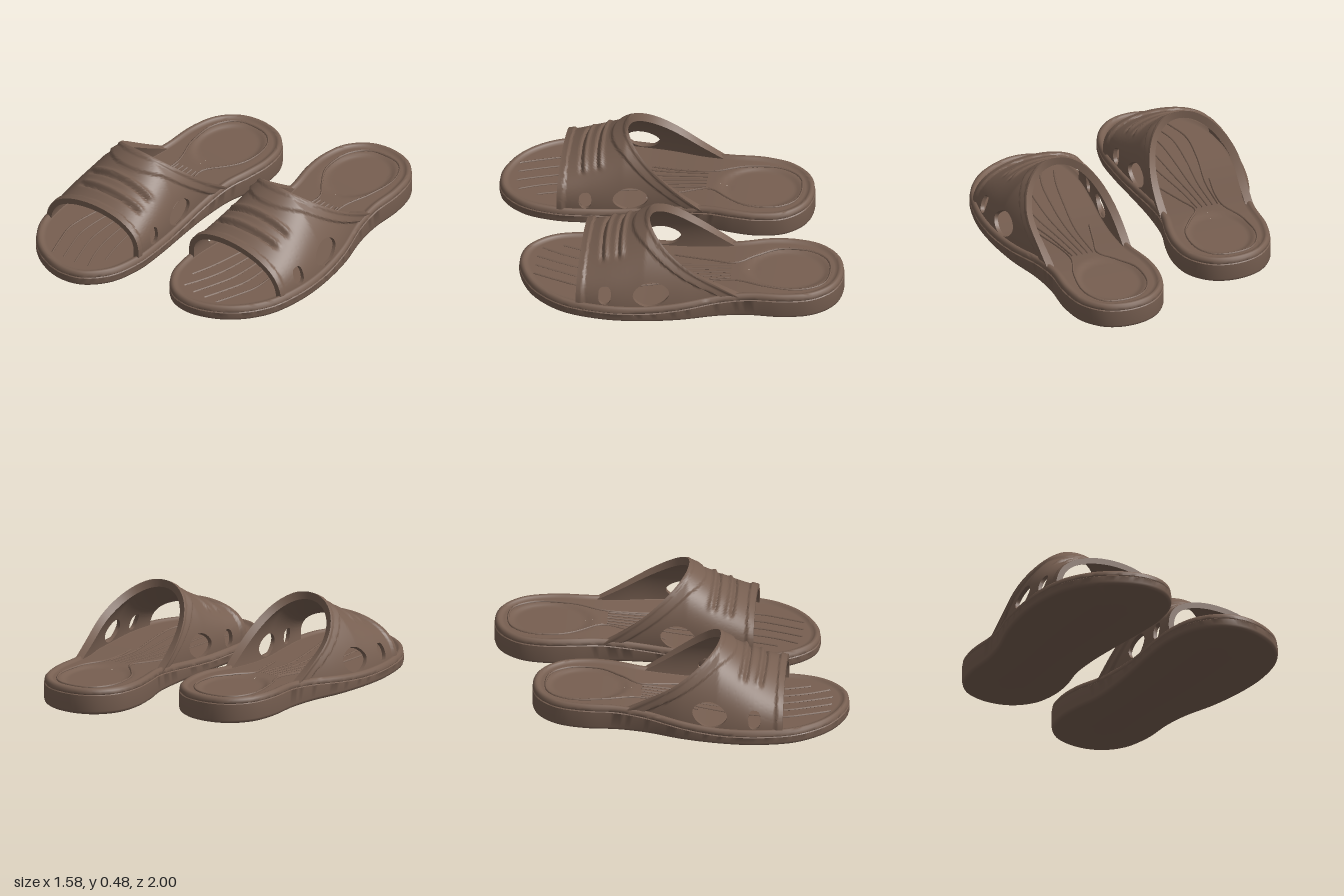
import * as THREE from 'three';
import { toCreasedNormals } from 'three/addons/utils/BufferGeometryUtils.js';

const { lerp, smoothstep, clamp } = THREE.MathUtils;
const rubber = new THREE.MeshStandardMaterial({ color: 0x775f51 });
rubber.name = 'brown rubber';

// Sole outline (x, z): heel, outer side, toe, inner side
const outline = new THREE.CatmullRomCurve3([
  [0.36, -1], [0.5, -0.965], [0.6, -0.86], [0.643, -0.7], [0.648, -0.5], [0.675, -0.34], [0.74, -0.13],
  [0.78, 0.1], [0.785, 0.3], [0.74, 0.52], [0.63, 0.68], [0.5, 0.765], [0.37, 0.797], [0.24, 0.765],
  [0.13, 0.64], [0.085, 0.45], [0.09, 0.25], [0.115, 0], [0.13, -0.2], [0.127, -0.4], [0.095, -0.56],
  [0.085, -0.71], [0.12, -0.86], [0.22, -0.965],
].map(([x, z]) => new THREE.Vector3(x, 0, z)), true, 'centripetal');
const N = 160;
const rim = outline.getSpacedPoints(N).slice(0, N);
const toe = rim.reduce((best, p, i) => (p.z > rim[best].z ? i : best), 0);

// x of the outer or inner outline at a given z
function edgeX(z, outer) {
  const [from, to] = outer ? [0, toe] : [toe, N];
  for (let i = from; i < to; i++) {
    const a = rim[i], b = rim[(i + 1) % N];
    if ((a.z - z) * (b.z - z) <= 0 && a.z !== b.z) return lerp(a.x, b.x, (z - a.z) / (b.z - a.z));
  }
  return 0.36;
}

const soleTop = (z) => lerp(0.147, 0.088, smoothstep(z, -0.62, 0.15));
function bedY(x, z) {
  const r = Math.hypot((x - 0.365) / 0.185, (z + 0.69) / 0.235);
  return soleTop(z) - 0.012 - 0.014 * (1 - smoothstep(r, 0.82, 1.03));
}

function meshData(pos, idx) {
  const g = new THREE.BufferGeometry();
  g.setAttribute('position', new THREE.Float32BufferAttribute(pos, 3));
  g.setIndex(idx);
  return g;
}

// Sole: rings lofted from the flat bottom, up the side, over the rim and into the footbed
function soleGeometry() {
  const pos = [], idx = [];
  const ring = (inset, shrink, height) => rim.forEach((p, i) => {
    const a = rim[(i + N - 1) % N], b = rim[(i + 1) % N];
    const l = Math.hypot(b.x - a.x, b.z - a.z);
    const x0 = p.x - inset * (b.z - a.z) / l, z0 = p.z + inset * (b.x - a.x) / l;
    const x = lerp(x0, 0.38, shrink), z = lerp(z0, clamp(z0, -0.72, 0.45), shrink);
    pos.push(x, height(x, z), z);
  });
  ring(0, 1, () => 0);
  ring(0.015, 0, () => 0);
  ring(0.003, 0, () => 0.008);
  ring(0, 0, () => 0.02);
  ring(0, 0, (x, z) => soleTop(z) - 0.038);
  ring(0.006, 0, (x, z) => soleTop(z) - 0.034);
  ring(0.002, 0, (x, z) => soleTop(z) - 0.029);
  ring(0.004, 0, (x, z) => soleTop(z) - 0.012);
  ring(0.014, 0, (x, z) => soleTop(z) - 0.002);
  ring(0.024, 0, (x, z) => soleTop(z));
  ring(0.034, 0, (x, z) => soleTop(z) - 0.004);
  for (let k = 0; k <= 20; k++) ring(0.042, k / 20, bedY);
  for (let k = 0; k < pos.length / 3 / N - 1; k++) {
    for (let i = 0; i < N; i++) {
      const j = (i + 1) % N, a = k * N + i, b = (k + 1) * N + i, c = (k + 1) * N + j, d = k * N + j;
      idx.push(a, b, c, a, c, d);
    }
  }
  return meshData(pos, idx);
}

// Side openings in (z, angle) space, repeated on both sides of the arch
const FRONT = 0.44, PEAK = 0.07;
const holes = [];
for (const side of [0, 1]) {
  const at = (a) => (side ? Math.PI - a : a);
  holes.push({ z: 0.28, a: at(0.23), rz: 0.036, ra: 0.16, n: 2.6 });
  holes.push({ z: 0.025, a: at(0.24), rz: 0.1, ra: 0.18, n: 1.8 });
}
const holeRadius = (h, z, a) =>
  (Math.abs((z - h.z) / h.rz) ** h.n + Math.abs((a - h.a) / h.ra) ** h.n) ** (1 / h.n);

const backZ = (a) => PEAK - (0.51 + 0.04 * Math.cos(a)) * (1 - Math.sin(a)) ** 1.05;

// Raised bands and sunken slits on the strap
function relief(z, a) {
  const e = z - backZ(a), bump = (d, w) => Math.exp(-((d / w) ** 2));
  let d = 0.014 * (1 - smoothstep(e, 0.085, 0.1)) + 0.008 * (1 - smoothstep(e, 0.018, 0.03));
  d += 0.012 * smoothstep(z, 0.395, 0.407);
  const across = smoothstep(a, 0.8, 1.0) * (1 - smoothstep(a, 2.2, 2.4));
  for (const slit of [0.235, 0.325]) {
    const s = z - slit + 0.03 * (a - 1.6) ** 2;
    d += across * (0.012 * bump(s + 0.02, 0.014) - 0.016 * bump(s, 0.01));
  }
  return d;
}

// Point on the arched strap, pushed out by the given offset
function strapPoint(z, a, offset) {
  const t = clamp((FRONT - z) / (FRONT - PEAK), 0, 1);
  const top = 0.285 + 0.177 * t ** 1.2;
  const xo = edgeX(z, true) - 0.024, xi = edgeX(z, false) + 0.024;
  const s = Math.max(0, Math.sin(a)), y0 = soleTop(z) - 0.03;
  return [
    (xo + xi) / 2 + (xo - xi) / 2 * Math.cos(a) - 0.04 * s + offset * Math.cos(a),
    y0 + (top - y0) * s ** (0.7 + 0.3 * t) + offset * s,
    z,
  ];
}

// Strap: outer and inner shells joined by walls along every open edge
function strapGeometry() {
  const A = 96, V = 72, outer = [], inner = [], inside = [], idx = [];
  for (let i = 0; i <= A; i++) {
    for (let j = 0; j <= V; j++) {
      let a = Math.PI * i / A, z = lerp(FRONT, backZ(a), j / V), hit = false;
      for (const h of holes) {
        const r = holeRadius(h, z, a);
        if (r < 1) {
          hit = true;
          z = h.z + (z - h.z) / Math.max(r, 0.05);
          a = h.a + (a - h.a) / Math.max(r, 0.05);
        }
      }
      inside.push(hit);
      outer.push(...strapPoint(z, a, relief(z, a)));
      inner.push(...strapPoint(z, a, -0.022));
    }
  }
  const M = inside.length, edges = new Map();
  for (let i = 0; i < A; i++) {
    for (let j = 0; j < V; j++) {
      const a = i * (V + 1) + j, q = [a, a + 1, a + V + 2, a + V + 1];
      if (q.every((k) => inside[k])) continue;
      const [p, r, s, t] = q;
      idx.push(p, r, s, p, s, t, p + M, s + M, r + M, p + M, t + M, s + M);
      q.forEach((m, k) => {
        const n = q[(k + 1) % 4];
        if (!edges.delete(n + '_' + m)) edges.set(m + '_' + n, [m, n]);
      });
    }
  }
  for (const [m, n] of edges.values()) idx.push(n, m, m + M, n, m + M, n + M);
  return meshData([...outer, ...inner], idx);
}

// Thin raised line that follows the footbed
function bedLine(points, radius = 0.006) {
  const flat = new THREE.CatmullRomCurve3(points.map(([x, z]) => new THREE.Vector3(x, 0, z)), false, 'centripetal');
  const pts = flat.getSpacedPoints(40).map((p) => p.setY(bedY(p.x, p.z) + 0.001));
  return new THREE.TubeGeometry(new THREE.CatmullRomCurve3(pts), 60, radius, 6);
}

// Adds a mesh, reflected and moved for the shoe on the other foot
function addPart(group, name, source, mirrored, crease) {
  const geo = source.clone();
  if (mirrored) {
    geo.applyMatrix4(new THREE.Matrix4().makeScale(-1, 1, 0.972).setPosition(0, 0, 0.222));
    const ix = geo.index.array;
    for (let i = 0; i < ix.length; i += 3) [ix[i + 1], ix[i + 2]] = [ix[i + 2], ix[i + 1]];
  }
  geo.computeVertexNormals();
  const mesh = new THREE.Mesh(crease ? toCreasedNormals(geo, crease) : geo, rubber);
  mesh.name = name;
  group.add(mesh);
}

export function createModel() {
  const model = new THREE.Group();
  model.name = 'pair of slide sandals';
  const sole = soleGeometry(), strap = strapGeometry();
  // Keyhole line around the heel cup
  const heelLine = bedLine([[0.25, -0.05], [0.3, -0.25], [0.33, -0.4], [0.26, -0.5], [0.19, -0.62], [0.19, -0.8],
    [0.26, -0.9], [0.365, -0.925], [0.48, -0.9], [0.55, -0.78], [0.54, -0.58], [0.49, -0.41], [0.5, -0.25], [0.54, -0.05]]);
  // Lines that fan out from the arch to the toes
  const ribs = [0, 1, 2, 3, 4].map((i) => bedLine([
    [0.35 + 0.03 * i, -0.38], [0.34 + 0.04 * i, -0.1], [0.3 + 0.065 * i, 0.2],
    [0.26 + 0.08 * i, 0.44], [0.225 + 0.08 * i, 0.57], [0.18 + 0.08 * i, 0.66 + 0.02 * Math.min(i, 2)],
  ].slice(0, i === 0 ? 5 : 6)));
  for (const mirrored of [false, true]) {
    const shoe = new THREE.Group();
    shoe.name = mirrored ? 'rightSandal' : 'leftSandal';
    addPart(shoe, 'sole', sole, mirrored, 0.9);
    addPart(shoe, 'strap', strap, mirrored, 0.9);
    addPart(shoe, 'heelLine', heelLine, mirrored);
    ribs.forEach((rib) => addPart(shoe, 'footbedRib', rib, mirrored));
    model.add(shoe);
  }
  return model;
}
